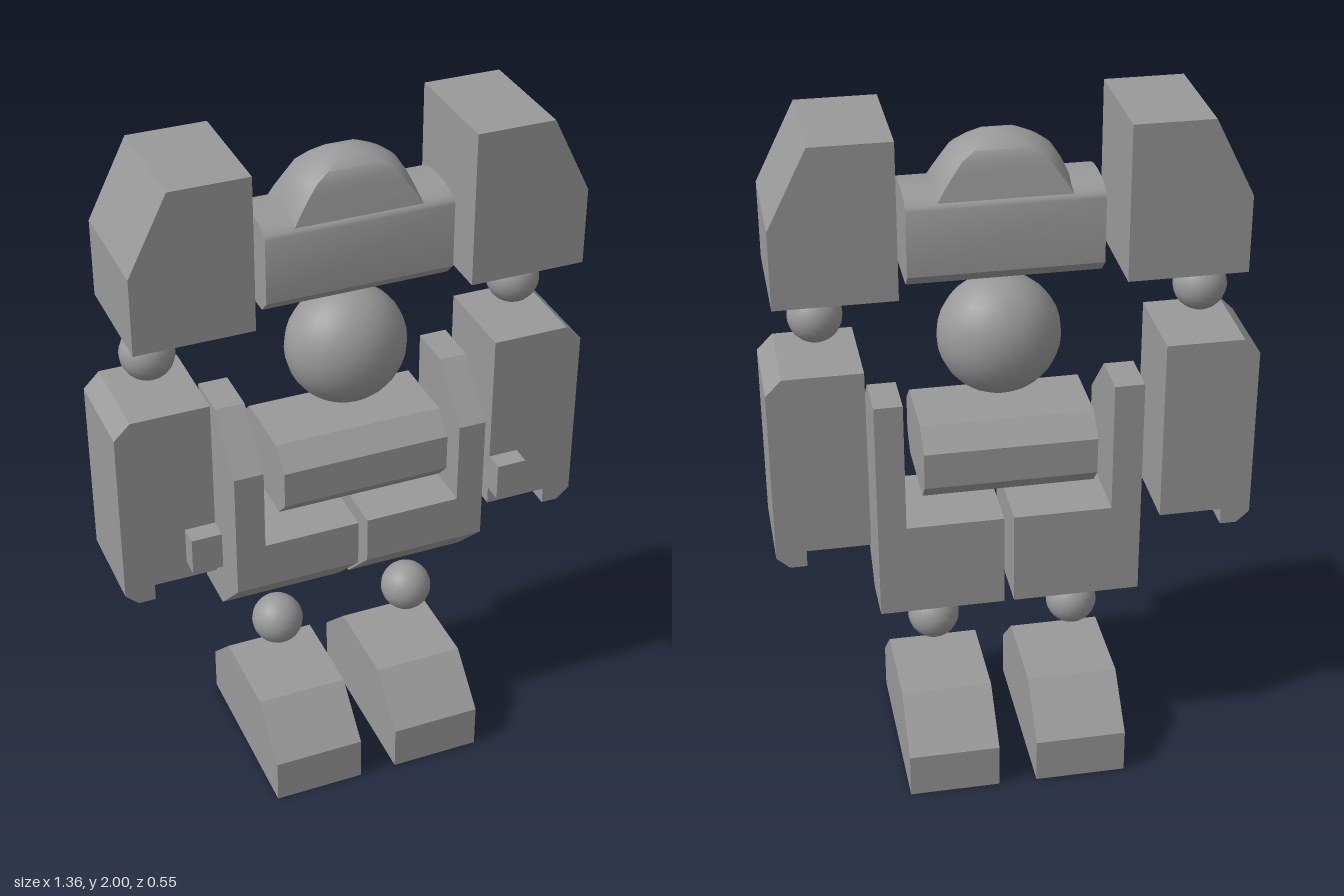
import * as THREE from 'three';
import { toCreasedNormals } from 'three/addons/utils/BufferGeometryUtils.js';

export function createModel() {
  const model = new THREE.Group();
  model.name = 'explodedRobot';
  const grey = new THREE.MeshStandardMaterial({ color: 0x999999 });
  grey.name = 'plain grey';

  function add(name, geometry, x = 0, y = 0, z = 0) {
    const mesh = new THREE.Mesh(geometry, grey);
    mesh.name = name;
    mesh.position.set(x, y, z);
    model.add(mesh);
    return mesh;
  }
  const outline = pts => new THREE.Shape(pts.map(([a, b]) => new THREE.Vector2(a, b)));
  const extrude = (pts, depth) =>
    new THREE.ExtrudeGeometry(outline(pts), { depth, bevelEnabled: false });

  // Prism with an (x, y) outline, running along z between -half and +half
  const prismZ = (pts, half) => extrude(pts, half * 2).translate(0, 0, -half);
  // Prism with a (z, y) outline, running along x from x0 to x1
  const prismX = (pts, x0, x1) =>
    extrude(pts.map(([z, y]) => [-z, y]), x1 - x0).rotateY(Math.PI / 2).translate(x0, 0, 0);
  const ball = r => new THREE.SphereGeometry(r, 20, 14);

  for (const s of [-1, 1]) {
    const side = s < 0 ? 'right' : 'left';
    const pick = (right, left) => (s < 0 ? right : left);

    // Shoulder block with a sloped outer top corner
    const shoulder = [[0, 1.56], [0.33, 1.56], [0.33, 1.78], [0.22, 2], [0, 2]];
    const shoulderX = pick(-0.295, 0.315);
    add(side + 'Shoulder', prismZ(shoulder.map(([x, y]) => [shoulderX + s * x, y]), 0.167));

    // Elbow and knee balls
    add(side + 'ElbowBall', ball(0.075), pick(-0.54, 0.522), 1.457);
    add(side + 'KneeBall', ball(0.075), pick(-0.193, 0.22), 0.45);

    // Forearm with chamfered outer edges and a finger ridge below
    const arm = [[0, 0.797], [0.18, 0.797], [0.18, 0.748], [0.228, 0.748],
      [0.265, 0.782], [0.265, 1.295], [0.22, 1.34], [0, 1.34]];
    const armX = pick(-0.418, 0.41);
    add(side + 'Forearm', prismZ(arm.map(([x, y]) => [armX + s * x, y]), 0.137));

    // Thumb block on the forearm front
    add(side + 'Thumb', new THREE.BoxGeometry(0.086, 0.11, 0.057), armX + s * 0.043, 0.905, 0.165);

    // Hip block and its upright side strap, both chamfered at the front
    add(side + 'Hip', prismX([[-0.14, 0.56], [0, 0.56], [0.14, 0.7], [0.14, 0.84], [-0.14, 0.84]],
      pick(-0.36, 0.033), pick(0.005, 0.39)));
    add(side + 'Strap', prismX([[-0.14, 0.84], [0.14, 0.84], [0.14, 1.085], [0, 1.23], [-0.14, 1.23]],
      pick(-0.36, 0.31), pick(-0.275, 0.39)));

    // Foot with sloped front and back
    add(side + 'Foot', prismX([[-0.274, 0], [0.274, 0], [0.274, 0.135], [0.137, 0.267],
      [-0.137, 0.267], [-0.274, 0.135]], pick(-0.303, 0.073), pick(-0.038, 0.337)));
  }

  // Belly ball, slightly flattened front to back
  add('bellyBall', new THREE.SphereGeometry(0.172, 24, 16), 0.022, 1.357).scale.z = 0.87;

  // Eight-sided waist roll
  add('waist', prismX([[-0.12, 0.93], [0.12, 0.93], [0.167, 0.98], [0.167, 1.087],
    [0.105, 1.144], [-0.105, 1.144], [-0.167, 1.087], [-0.167, 0.98]], -0.225, 0.26));

  // Collar bar: chamfered below, gently arched above
  const collar = [[-0.11, 1.595], [-0.075, 1.56], [0.075, 1.56], [0.11, 1.595]];
  for (let i = 0; i <= 10; i++) {
    const a = (i / 10) * Math.PI;
    collar.push([0.11 * Math.cos(a), 1.78 + 0.035 * Math.sin(a)]);
  }
  add('collar', toCreasedNormals(prismX(collar, -0.245, 0.285), 0.6));

  // Head dome: flat sloping front and back, bulging sides, rounded crown
  // Each ring: y, half width of the flat edge, side bulge, half depth
  const rings = [[1.78, 0.188, 0.004, 0.102], [1.82, 0.164, 0.018, 0.094],
    [1.86, 0.136, 0.027, 0.085], [1.895, 0.11, 0.03, 0.078],
    [1.918, 0.075, 0.035, 0.066], [1.938, 0.04, 0.03, 0.045],
    [1.948, 0.015, 0.015, 0.02], [1.95, 0, 0, 0]];
  const steps = 8, count = 2 * (steps + 1), positions = [], index = [];
  rings.forEach(([y, w, bulge, d], r) => {
    for (const s of [1, -1]) {
      for (let i = 0; i <= steps; i++) {
        const t = 1 - (2 * i) / steps;
        positions.push(s * (w + bulge * (1 - t * t)), y, s * d * t);
      }
    }
    if (r === 0) return;
    for (let i = 0; i < count; i++) {
      const a = (r - 1) * count + i, b = (r - 1) * count + ((i + 1) % count);
      index.push(a, b, b + count, a, b + count, a + count);
    }
  });
  const dome = new THREE.BufferGeometry();
  dome.setAttribute('position', new THREE.Float32BufferAttribute(positions, 3));
  dome.setIndex(index);
  add('headDome', toCreasedNormals(dome, 0.6), 0.02);

  return model;
}
